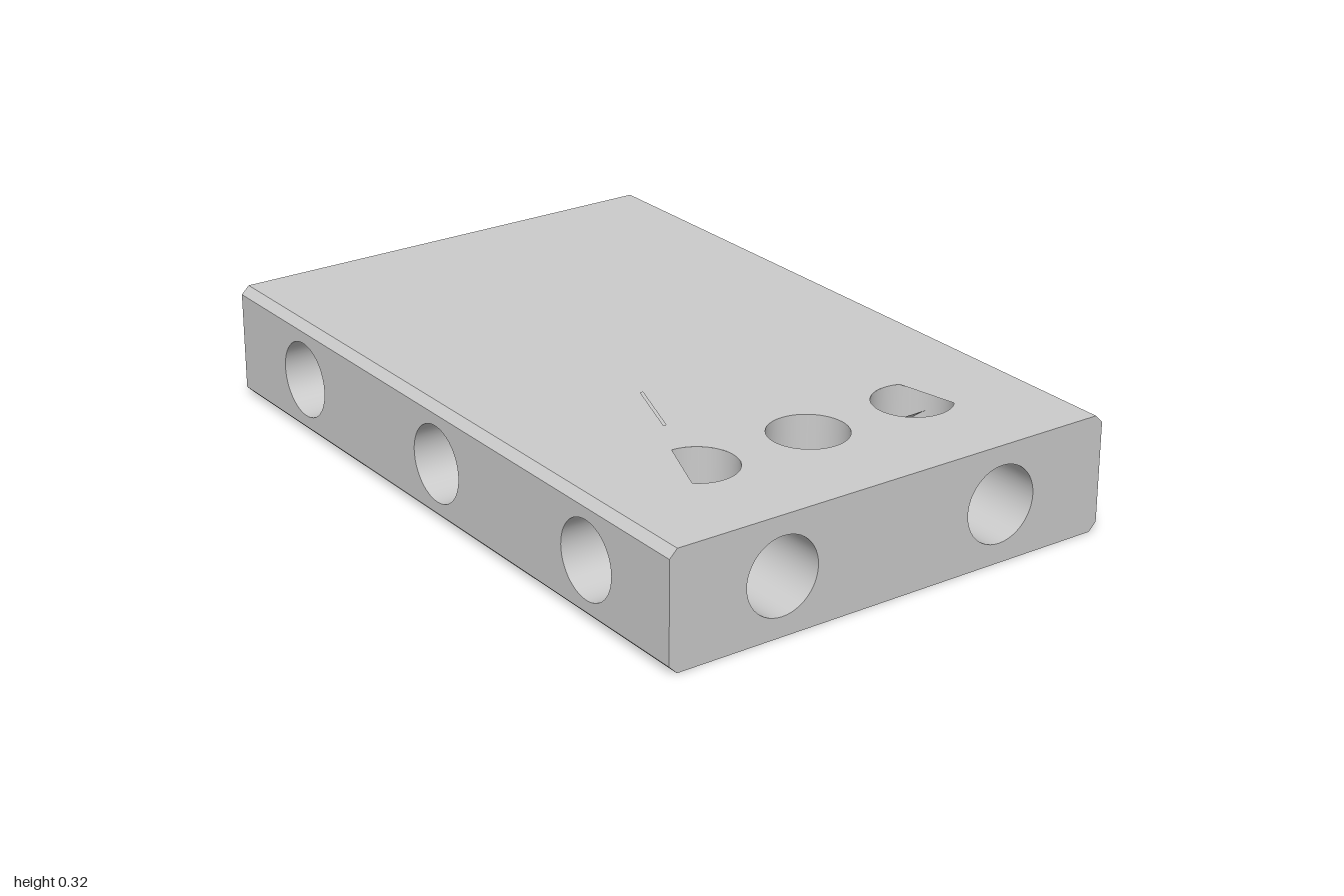
import * as THREE from 'three';

const W = 1, D = 0.66, H = 0.318, C = 0.022;   // half width, half depth, height, chamfer
const R = 0.105, MID = H / 2, SEG = 24;

const material = new THREE.MeshStandardMaterial({ color: 0xcccccc });
const innerMaterial = new THREE.MeshStandardMaterial({ color: 0xcccccc, side: THREE.BackSide });

function add(parent, name, geometry, mat = material) {
  const mesh = new THREE.Mesh(geometry, mat);
  mesh.name = name;
  parent.add(mesh);
  return mesh;
}

const polygon = pts => new THREE.Shape(pts.map(([x, y]) => new THREE.Vector2(x, y)));
const rectangle = (u, v0, v1) => polygon([[-u, v0], [u, v0], [u, v1], [-u, v1]]);

// Part of a circle, from angle a to angle b, closed by a chord
function arcHole(u, v, a = 0, b = Math.PI * 2) {
  const pts = [];
  const full = b - a > 6.28, n = SEG * 2;
  for (let i = 0; i < (full ? n : n + 1); i++) {
    const t = a + (b - a) * i / n;
    pts.push([u + R * Math.cos(t), v + R * Math.sin(t)]);
  }
  return polygon(pts);
}

// Blind round socket sunk behind a panel; a notch opens into the neighbouring socket
function addSocket(parent, u, depth, notched) {
  const socket = new THREE.Group();
  socket.name = 'socket';
  socket.position.set(u, MID, 0);
  const wall = new THREE.CylinderGeometry(R, R, depth, SEG * 2, 1, true);
  add(socket, 'socketWall', wall.rotateX(Math.PI / 2).translate(0, 0, -depth / 2), innerMaterial);
  let floor = new THREE.CircleGeometry(R, SEG * 2);
  if (notched) {
    const s = new THREE.Shape(), a = 0.24;
    s.absarc(0, 0, R, a, Math.PI * 2 - a, false);
    s.lineTo(0.025, -0.025);
    s.lineTo(0.025, 0.025);
    floor = new THREE.ShapeGeometry(s, SEG * 2);
    if (u < 0) floor.rotateZ(Math.PI);
  }
  add(socket, 'socketFloor', floor.translate(0, 0, -depth));
  parent.add(socket);
}

// Upright face with a row of sockets
function addSide(parent, name, outline, holes, depth, offset, angle, notched) {
  const side = new THREE.Group();
  side.name = name;
  outline.holes = holes.map(u => arcHole(u, MID));
  add(side, name + 'Panel', new THREE.ShapeGeometry(outline));
  holes.forEach(u => addSocket(side, u, depth, notched));
  side.rotation.y = angle;
  side.position.set(Math.sin(angle) * offset, 0, Math.cos(angle) * offset);
  parent.add(side);
}

export function createModel() {
  const group = new THREE.Group();
  group.name = 'drilledBlock';

  // Long faces with three sockets, end faces with two
  const d = D - C;
  for (const k of [0, 1]) {
    addSide(group, k ? 'backSide' : 'frontSide', rectangle(W, C, H - C),
      [-0.665, 0, 0.665], 0.3, D, k * Math.PI, false);
    const end = polygon([[-d, 0], [d, 0], [D, C], [D, H - C], [d, H], [-d, H], [-D, H - C], [-D, C]]);
    addSide(group, k ? 'rightEnd' : 'leftEnd', end,
      [-0.335, 0.335], 0.238, W, k ? -Math.PI / 2 : Math.PI / 2, true);
  }

  // Chamfers along the four long edges
  for (const sz of [-1, 1]) for (const top of [0, 1]) {
    const strip = add(group, 'chamfer', new THREE.PlaneGeometry(2 * W, C * Math.SQRT2));
    strip.rotation.order = 'YXZ';
    strip.rotation.set(top ? -Math.PI / 4 : Math.PI / 4, sz > 0 ? 0 : Math.PI, 0);
    strip.position.set(0, top ? H - C / 2 : C / 2, sz * (D - C / 2));
  }

  // Top with one round opening, two partly covered ones and a thin slit (v = -z)
  const topShape = rectangle(W, -d, d);
  topShape.holes = [
    arcHole(0.663, 0),
    arcHole(0.663, 0.33, -3.53, 0.79),
    arcHole(0.663, -0.335, -0.75, 3.14),
    polygon([[0.23, -0.187], [0.43, -0.259], [0.43, -0.267], [0.23, -0.195]]),
  ];
  add(group, 'topFace', new THREE.ShapeGeometry(topShape).rotateX(-Math.PI / 2).translate(0, H, 0));

  // Underside with two narrow openings (v = z)
  const baseShape = rectangle(W, -d, d);
  baseShape.holes = [arcHole(0.663, 0, -0.29, 1.02), arcHole(0.663, 0.335, -1.57, 0.24)];
  const base = new THREE.ShapeGeometry(baseShape).rotateX(Math.PI / 2);
  add(group, 'underside', base, new THREE.MeshStandardMaterial({ color: 0xcccccc, side: THREE.DoubleSide }));

  // Upright bores below the top openings
  for (const z of [-0.33, 0, 0.335]) {
    const bore = add(group, 'bore', new THREE.CylinderGeometry(R, R, H, SEG * 2, 1, true), innerMaterial);
    bore.position.set(0.663, MID, z);
  }
  return group;
}
